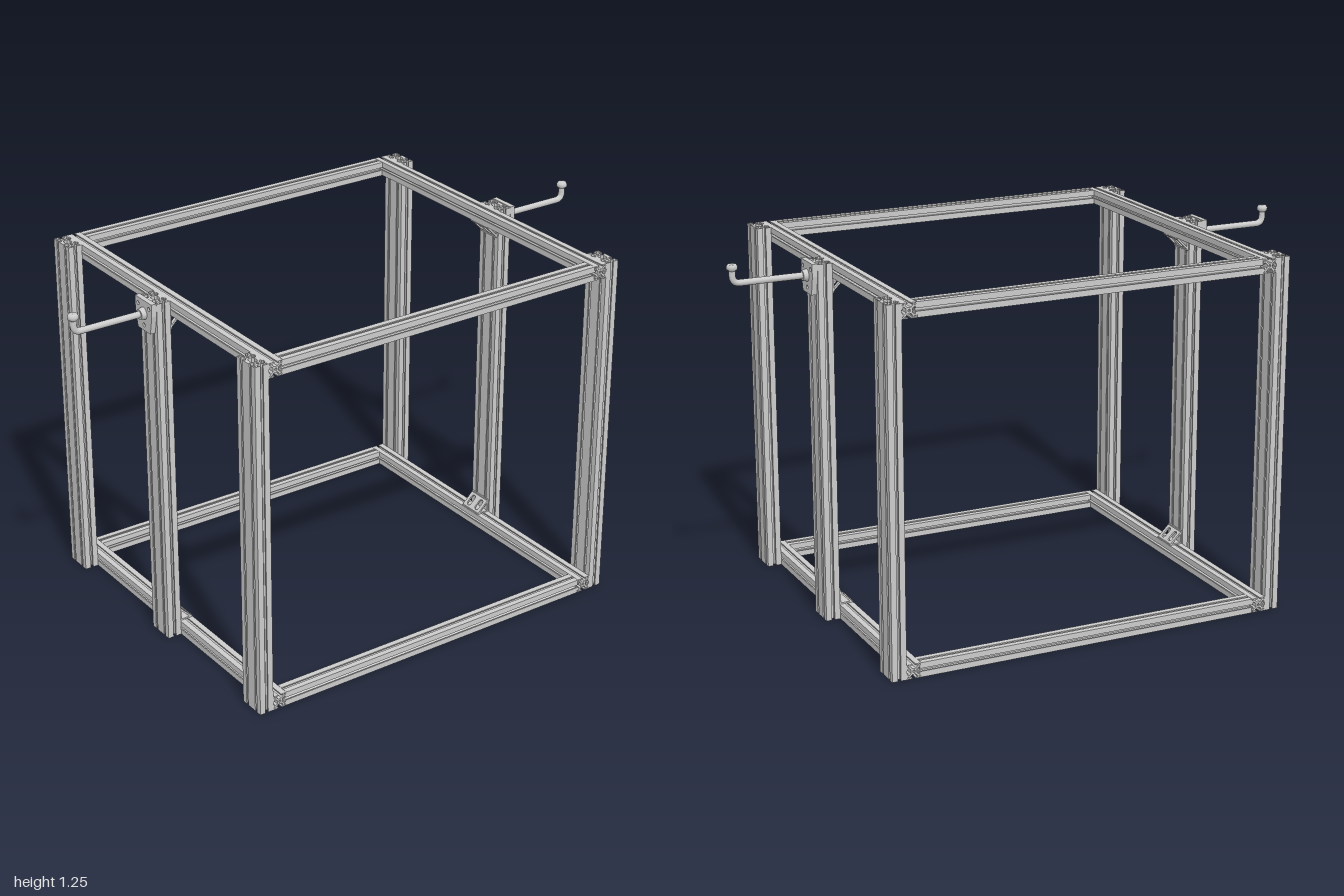
import * as THREE from 'three';

const CELL = 0.05, H = 1.23;
const mat = new THREE.MeshStandardMaterial({ color: 0xcccccc });

function add(parent, name, geo, x = 0, y = 0, z = 0) {
  const mesh = new THREE.Mesh(geo, mat);
  mesh.name = name;
  mesh.position.set(x, y, z);
  parent.add(mesh);
  return mesh;
}

function circleHole(x, y, r, segments = 10) {
  const pts = [];
  for (let i = 0; i < segments; i++) {
    const a = -i / segments * Math.PI * 2;
    pts.push(new THREE.Vector2(x + r * Math.cos(a), y + r * Math.sin(a)));
  }
  return new THREE.Path(pts);
}

// Slotted bar section, "cells" squares wide
const SLOT = [[-0.005, 0], [-0.005, 0.004], [-0.012, 0.004], [-0.012, 0.008], [-0.006, 0.015]];
function barSection(cells) {
  const w = cells * CELL / 2, h = CELL / 2, pts = [];
  const slot = [...SLOT, ...SLOT.map(([u, v]) => [-u, v]).reverse()];
  const sides = [[-w, -h, 1, 0, cells], [w, -h, 0, 1, 1], [w, h, -1, 0, cells], [-w, h, 0, -1, 1]];
  for (const [x, y, dx, dy, n] of sides) {
    pts.push(new THREE.Vector2(x, y));
    for (let i = 0; i < n; i++)
      for (const [u, v] of slot) {
        const t = (i + 0.5) * CELL + u;
        pts.push(new THREE.Vector2(x + dx * t - dy * v, y + dy * t + dx * v));
      }
  }
  const shape = new THREE.Shape(pts);
  // Centre bores, corner hollows, and the chamber between cells
  for (let i = 0; i < cells; i++)
    shape.holes.push(circleHole(-w + (i + 0.5) * CELL, 0, 0.0045));
  for (const sx of [-1, 1]) for (const sy of [-1, 1])
    shape.holes.push(circleHole(sx * (w - 0.0055), sy * (h - 0.0055), 0.0036, 4));
  for (let i = 1; i < cells; i++) {
    const c = -w + i * CELL;
    shape.holes.push(new THREE.Path([
      [-0.015, -0.006], [-0.008, -0.012], [0.008, -0.012], [0.015, -0.006],
      [0.015, 0.006], [0.008, 0.012], [-0.008, 0.012], [-0.015, 0.006],
    ].reverse().map(([x, y]) => new THREE.Vector2(c + x, y))));
  }
  return shape;
}

const extrude = (shape, depth, curveSegments = 8) =>
  new THREE.ExtrudeGeometry(shape, { depth, bevelEnabled: false, curveSegments });

// Hook arm with its tapered mounting plate, pointing to +z
function makeHook() {
  const hook = new THREE.Group();
  hook.name = 'hook';
  const plate = new THREE.Shape([
    [-0.038, 1.128], [0.038, 1.128], [0.05, 1.19], [0.05, 1.233], [-0.05, 1.233], [-0.05, 1.19],
  ].map(([x, y]) => new THREE.Vector2(x, y)));
  const bolts = [[-0.033, 1.212], [0.033, 1.212], [0, 1.147]];
  for (const [x, y] of bolts) plate.holes.push(circleHole(x, y, 0.007, 16));
  add(hook, 'mountingPlate', extrude(plate, 0.018), 0, 0, 0.712);
  for (const [x, y] of bolts)
    add(hook, 'plateBolt', new THREE.CylinderGeometry(0.0045, 0.0045, 0.014, 6).rotateX(Math.PI / 2), x, y, 0.719);
  add(hook, 'boss', new THREE.CylinderGeometry(0.017, 0.021, 0.016, 24).rotateX(Math.PI / 2), 0, 1.187, 0.738);

  const path = new THREE.CurvePath();
  const v = (y, z) => new THREE.Vector3(0, y, z);
  path.add(new THREE.LineCurve3(v(1.187, 0.725), v(1.187, 0.957)));
  path.add(new THREE.QuadraticBezierCurve3(v(1.187, 0.957), v(1.187, 0.982), v(1.212, 0.982)));
  path.add(new THREE.LineCurve3(v(1.212, 0.982), v(1.236, 0.982)));
  add(hook, 'hookArm', new THREE.TubeGeometry(path, 60, 0.011, 16));

  const knob = [[0, 1.228], [0.011, 1.228], [0.018, 1.234], [0.018, 1.243], [0.014, 1.25], [0, 1.25]];
  add(hook, 'hookKnob', new THREE.LatheGeometry(knob.map(([r, y]) => new THREE.Vector2(r, y)), 24), 0, 0, 0.982);
  return hook;
}

// Corner bracket above the lower front rail
function makeBracket() {
  const bracket = new THREE.Group();
  bracket.name = 'cornerBracket';
  add(bracket, 'bracketFoot', new THREE.BoxGeometry(0.09, 0.005, 0.048), 0, 0.0525, 0.636);
  add(bracket, 'bracketBack', new THREE.BoxGeometry(0.09, 0.048, 0.005), 0, 0.076, 0.6575);
  const face = new THREE.Shape([[-0.045, -0.033], [0.045, -0.033], [0.045, 0.033], [-0.045, 0.033]]
    .map(([x, y]) => new THREE.Vector2(x, y)));
  for (const x of [-0.022, 0.022]) {
    const slot = new THREE.Path();
    slot.absarc(x, 0.011, 0.01, 0, Math.PI, false);
    slot.absarc(x, -0.011, 0.01, Math.PI, Math.PI * 2, false);
    slot.closePath();
    face.holes.push(slot);
  }
  add(bracket, 'bracketFace', extrude(face, 0.006), 0, 0.075, 0.635).rotation.x = Math.PI / 4;
  return bracket;
}

export function createModel() {
  const model = new THREE.Group();
  model.name = 'slottedBarFrame';

  // Upright posts, three at the front and three at the back
  const postGeo = extrude(barSection(2), H).rotateX(-Math.PI / 2);
  for (const z of [-0.686, 0.686])
    for (const x of [-0.56, 0, 0.56]) add(model, x ? 'cornerPost' : 'middlePost', postGeo, x, 0, z);

  // Horizontal rails at the floor and the top
  const rail = extrude(barSection(1), 1.22).translate(0, 0, -0.61);
  const crossRail = rail.clone().rotateY(Math.PI / 2);
  for (const y of [0.025, H - 0.025])
    for (const s of [-1, 1]) {
      add(model, 'crossRail', crossRail, 0, y, s * 0.636);
      add(model, 'sideRail', rail, s * 0.585, y, 0);
    }

  // Hooks and brackets on both middle posts
  for (const turn of [0, Math.PI]) {
    const end = new THREE.Group();
    end.name = turn ? 'backFittings' : 'frontFittings';
    end.rotation.y = turn;
    end.add(makeHook(), makeBracket());
    const upper = makeBracket();
    upper.rotation.z = Math.PI;
    upper.position.y = H;
    end.add(upper);
    model.add(end);
  }
  return model;
}
